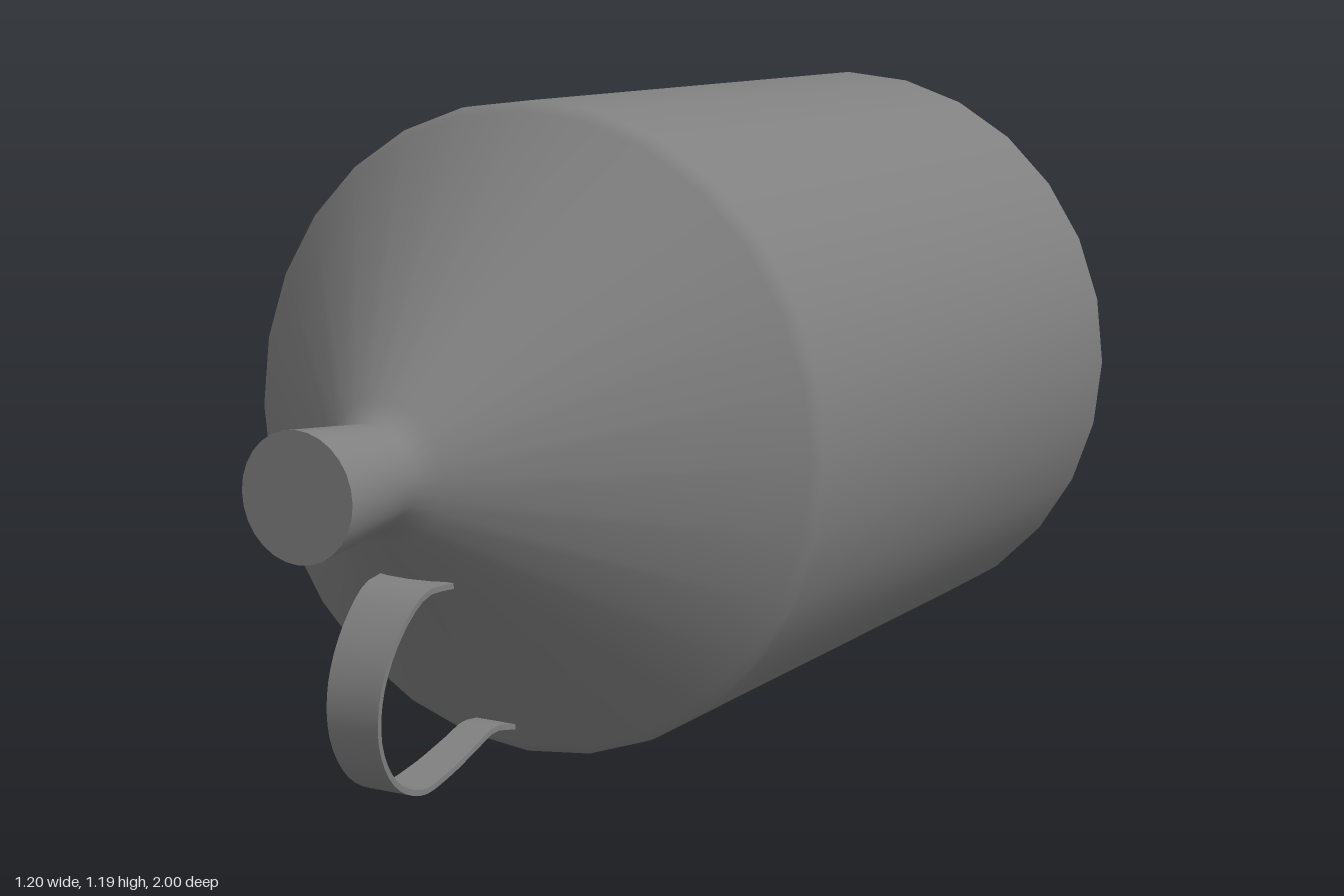
import * as THREE from 'three';
import { toCreasedNormals } from 'three/addons/utils/BufferGeometryUtils.js';

const grey = new THREE.MeshStandardMaterial({ color: 0x808080 });

function addMesh(parent, name, geometry) {
  const mesh = new THREE.Mesh(toCreasedNormals(geometry, 1), grey);
  mesh.name = name;
  parent.add(mesh);
}

// Turned part along z from [radius, z] points, back to front
function turned(points, sides = 28) {
  const profile = points.map(([r, z]) => new THREE.Vector2(r, z));
  return new THREE.LatheGeometry(profile, sides).rotateX(Math.PI / 2);
}

// Flat strap swept along a curve in the yz plane, tapering, with both ends flared
function strap(points, steps, thickness, startSpan, endSpan, flare) {
  const curve = new THREE.CatmullRomCurve3(points.map(([z, y]) => new THREE.Vector3(0, y, z)));
  const pos = [], index = [];
  for (let i = 0; i <= steps; i++) {
    const t = i / steps;
    const p = curve.getPointAt(t), d = curve.getTangentAt(t);
    const ny = d.z * thickness / 2, nz = -d.y * thickness / 2;
    const extra = flare * Math.pow(Math.abs(2 * t - 1), 12);
    const x0 = THREE.MathUtils.lerp(startSpan[0], endSpan[0], t) - extra;
    const x1 = THREE.MathUtils.lerp(startSpan[1], endSpan[1], t) + extra;
    for (const [x, s] of [[x0, -1], [x1, -1], [x1, 1], [x0, 1]]) {
      pos.push(x, p.y + s * ny, p.z + s * nz);
    }
    if (i === steps) break;
    for (let k = 0; k < 4; k++) {
      const a = i * 4 + k, b = i * 4 + (k + 1) % 4;
      index.push(a, b, b + 4, a, b + 4, a + 4);
    }
  }
  const e = steps * 4;
  index.push(0, 2, 1, 0, 3, 2, e, e + 1, e + 2, e, e + 2, e + 3);
  const g = new THREE.BufferGeometry();
  g.setAttribute('position', new THREE.Float32BufferAttribute(pos, 3));
  g.setIndex(index);
  return g;
}

export function createModel() {
  const model = new THREE.Group();
  model.name = 'canister';

  // Vessel, its axis turned slightly to one side
  const vessel = new THREE.Group();
  vessel.name = 'vessel';
  vessel.position.set(-0.014, 0.6, 0);
  vessel.rotation.y = -0.015;
  model.add(vessel);

  // Shallow recessed base, wall, conical shoulder and flared neck, softly joined
  addMesh(vessel, 'body', turned([
    [0, -0.975], [0.56, -0.975], [0.582, -0.981], [0.592, -0.991], [0.593, -0.98],
    [0.588, 0.31], [0.587, 0.33], [0.571, 0.345],
    [0.12, 0.768], [0.088, 0.8], [0.09, 0.82], [0.108, 0.998],
  ]));
  addMesh(vessel, 'mouthCap', turned([[0.108, 0.998], [0, 0.998]]));

  // Strap handle under the neck, wider at the top
  addMesh(model, 'handle', strap([
    [0.69, 0.405], [0.75, 0.4], [0.82, 0.335], [0.857, 0.25], [0.852, 0.165], [0.8, 0.087],
    [0.71, 0.045], [0.62, 0.05], [0.52, 0.07], [0.45, 0.085], [0.39, 0.075],
  ], 36, 0.01, [-0.075, 0.048], [-0.08, -0.02], 0.012));

  return model;
}
